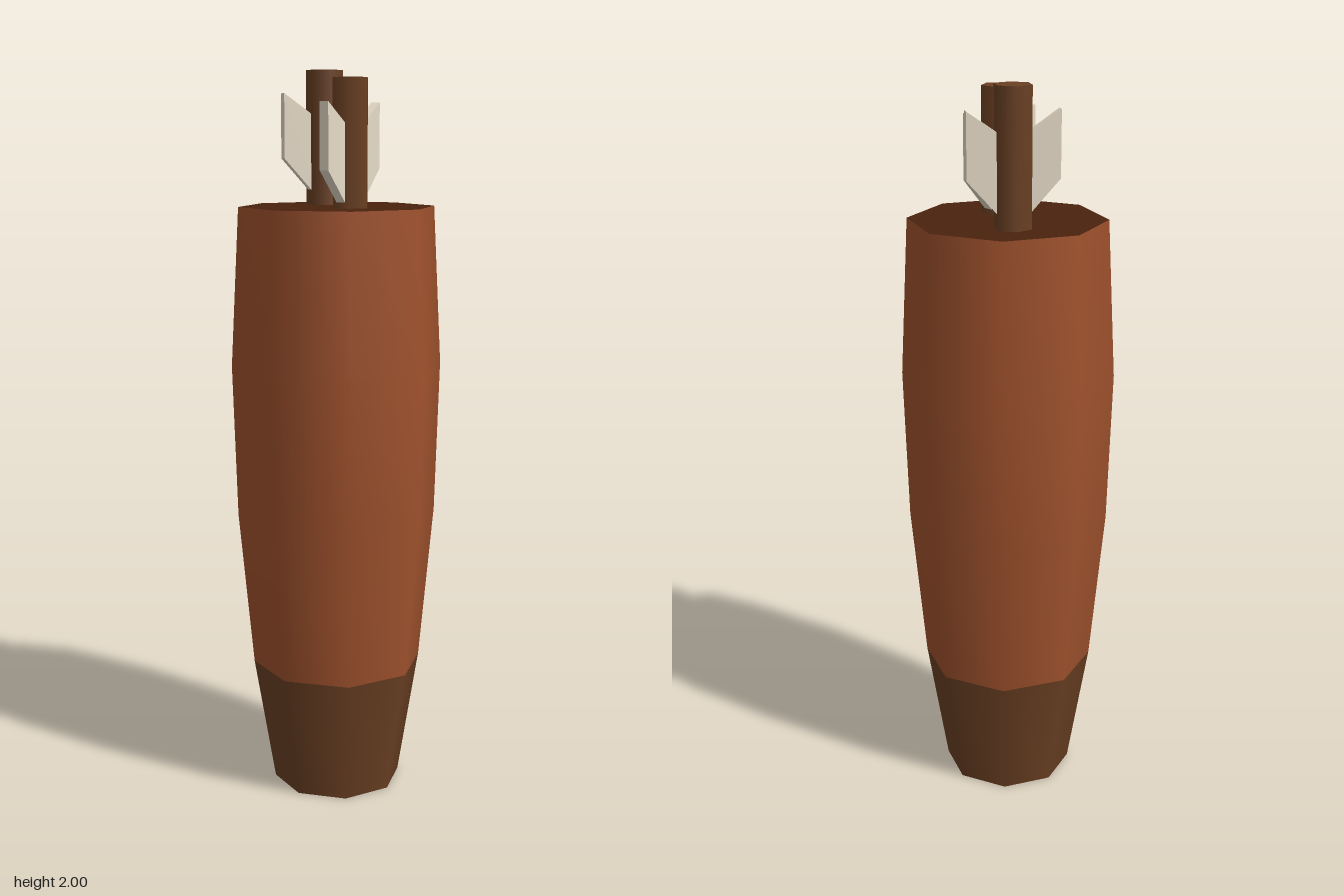
import * as THREE from 'three';

const material = (name, color) => new THREE.MeshStandardMaterial({ name, color });

export function createModel() {
  const leather = material('tan leather', 0xa0522d);
  const darkLeather = material('dark leather', 0x6b4023);
  const inside = material('dark inside', 0x4a230e);
  const feather = material('feather cream', 0xe8dcc8);

  const model = new THREE.Group();
  model.name = 'quiver';

  const add = (parent, name, geometry, mat, x = 0, y = 0, z = 0) => {
    const mesh = new THREE.Mesh(geometry, mat);
    mesh.name = name;
    mesh.position.set(x, y, z);
    parent.add(mesh);
    return mesh;
  };
  const lathe = (profile) =>
    new THREE.LatheGeometry(profile.map(([r, y]) => new THREE.Vector2(r, y)), 8);

  // Eight-sided bulging body and its darker tip
  add(model, 'body', lathe([[0.238, 0.355], [0.278, 0.79], [0.29, 1.21], [0.267, 1.64]]), leather);
  add(model, 'tip', lathe([[0.18, 0], [0.238, 0.355]]), darkLeather);

  // Flat closing discs, corners lined up with the body
  const disc = (r) => new THREE.CircleGeometry(r, 8);
  add(model, 'opening', disc(0.267), inside, 0, 1.64, 0).rotation.x = -Math.PI / 2;
  add(model, 'underside', disc(0.18), darkLeather).rotation.x = Math.PI / 2;

  // One vane: slanted outline, heights measured down from the arrow's end
  const outline = new THREE.Shape([
    [0.03, -0.335], [0.121, -0.235], [0.121, -0.062], [0.03, -0.125],
  ].map(([x, y]) => new THREE.Vector2(x, y)));
  const vane = new THREE.ExtrudeGeometry(outline, { depth: 0.027, bevelEnabled: false });
  vane.translate(0, 0, -0.0135);

  // Arrows standing in the opening, each with two opposite vanes
  const arrows = [
    { x: -0.04, z: 0.074, top: 1.975, turn: 0.05 },
    { x: 0.066, z: -0.093, top: 2, turn: -0.55 },
  ];
  for (const { x, z, top, turn } of arrows) {
    const arrow = new THREE.Group();
    arrow.name = 'arrow';
    arrow.position.set(x, top, z);
    arrow.rotation.y = turn;
    const length = top - 1.6;
    add(arrow, 'shaft', new THREE.CylinderGeometry(0.051, 0.051, length, 6), darkLeather, 0, -length / 2, 0);
    for (const side of [0, 1]) {
      add(arrow, 'vane', vane, feather).rotation.y = side * Math.PI;
    }
    model.add(arrow);
  }
  return model;
}
